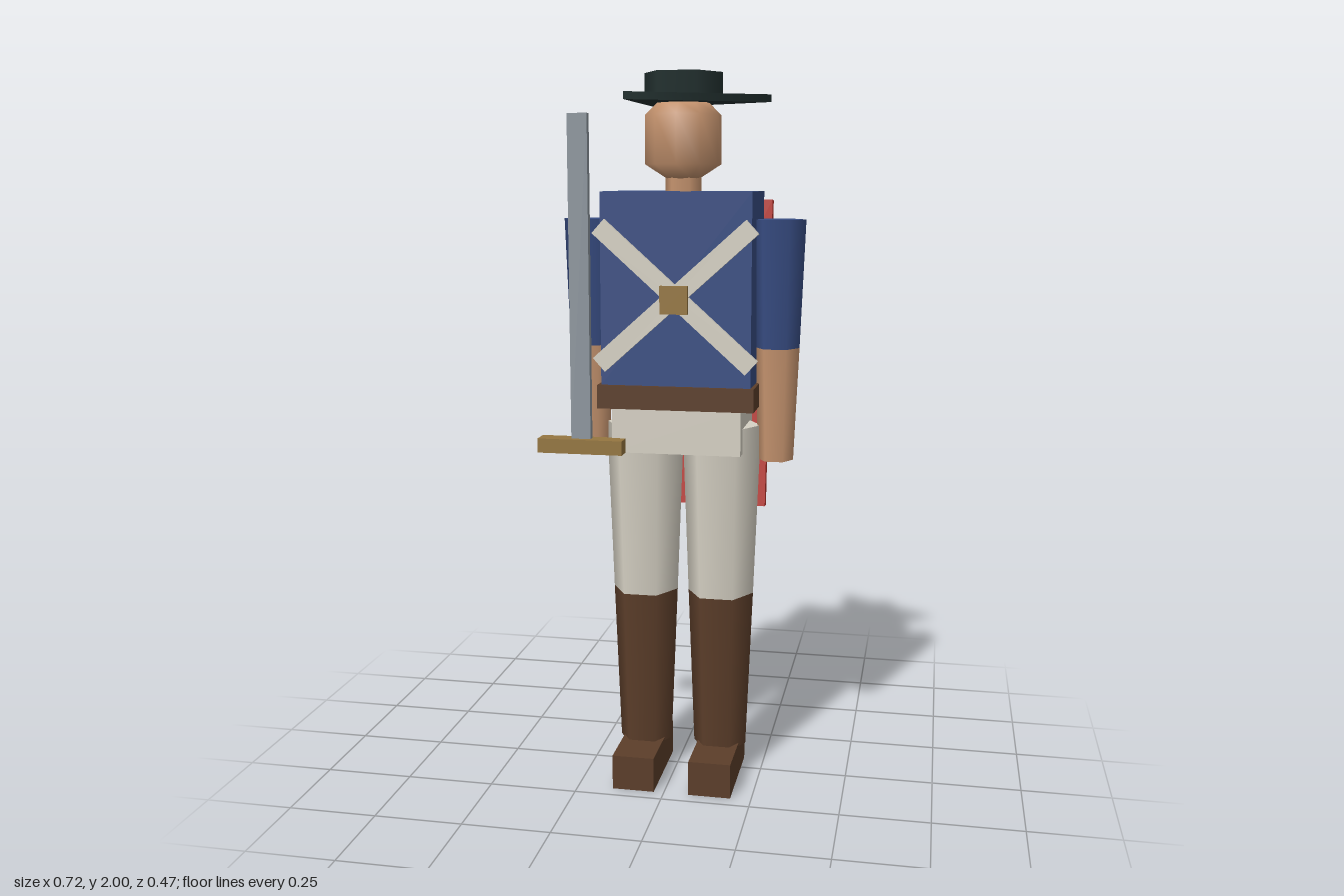
import * as THREE from 'three';

const paint = (name, color) => {
  const m = new THREE.MeshStandardMaterial({ color });
  m.name = name;
  return m;
};

export function createModel() {
  const root = new THREE.Group();
  root.name = 'swordsman';
  const blue = paint('blue cloth', 0x374c82);
  const skin = paint('skin', 0xc6946f);
  const cream = paint('cream cloth', 0xd6d1c4);
  const brown = paint('brown leather', 0x5c3e2a);
  const felt = paint('dark felt', 0x22302f);
  const brass = paint('brass', 0x957640);
  const steel = paint('steel', 0x8c959d);
  const red = paint('red', 0xb9342d);
  const CX = 0.021, CZ = 0.026; // axis of the body

  const add = (name, geo, mat, x, y, z) => {
    const mesh = new THREE.Mesh(geo, mat);
    mesh.name = name;
    mesh.position.set(x, y, z);
    root.add(mesh);
    return mesh;
  };
  const box = (name, mat, w, h, d, x, y, z) =>
    add(name, new THREE.BoxGeometry(w, h, d), mat, x, y, z);
  // upright prism between two heights, with one corner towards +x
  const prism = (name, mat, rTop, rBottom, y0, y1, x, sides = 6) =>
    add(name, new THREE.CylinderGeometry(rTop, rBottom, y1 - y0, sides, 1, false, Math.PI / 2),
      mat, x, (y0 + y1) / 2, CZ);

  // legs, boots and arms
  for (const [side, s] of [['left', 1], ['right', -1]]) {
    const legX = CX + s * 0.11, armX = CX + s * 0.264;
    box(side + 'Foot', brown, 0.12, 0.1, 0.28, legX, 0.05, 0.07);
    prism(side + 'BootShaft', brown, 0.094, 0.076, 0.09, 0.55, legX);
    prism(side + 'TrouserLeg', cream, 0.112, 0.094, 0.55, 1.04, legX);
    prism(side + 'Sleeve', blue, 0.075, 0.062, 1.26, 1.61, armX);
    prism(side + 'Forearm', skin, 0.062, 0.049, 0.945, 1.26, armX);
  }

  // trunk
  box('hips', cream, 0.36, 0.13, 0.225, CX, 1.035, CZ);
  box('belt', brown, 0.435, 0.065, 0.262, CX, 1.128, CZ);
  box('torso', blue, 0.415, 0.525, 0.24, CX, 1.4225, CZ);

  // crossed chest straps with a buckle
  for (const s of [1, -1]) {
    box('chestStrap', cream, 0.564, 0.05, 0.018, CX, 1.405, 0.152).rotation.z = s * 0.73;
  }
  box('buckle', brass, 0.076, 0.076, 0.03, CX, 1.398, 0.158);

  // head and neck
  prism('neck', skin, 0.05, 0.05, 1.68, 1.76, CX);
  const profile = [[0, 1.705], [0.05, 1.722], [0.105, 1.757], [0.105, 1.888], [0.07, 1.922], [0, 1.925]]
    .map(([r, y]) => new THREE.Vector2(r, y));
  add('head', new THREE.LatheGeometry(profile, 10), skin, CX, 0, CZ + 0.003);

  // three-cornered hat
  prism('hatBrim', felt, 0.239, 0.239, 1.92, 1.94, CX, 3);
  prism('hatCrown', felt, 0.108, 0.108, 1.93, 2.0, CX);

  // shield leaning on the back
  box('shield', red, 0.435, 0.892, 0.029, CX, 1.215, -0.172).rotation.x = -0.106;

  // upright sword in the right hand
  box('swordBlade', steel, 0.055, 0.89, 0.021, -0.241, 1.445, 0.157);
  box('swordGuard', brass, 0.24, 0.04, 0.054, -0.241, 0.99, 0.158);

  return root;
}
